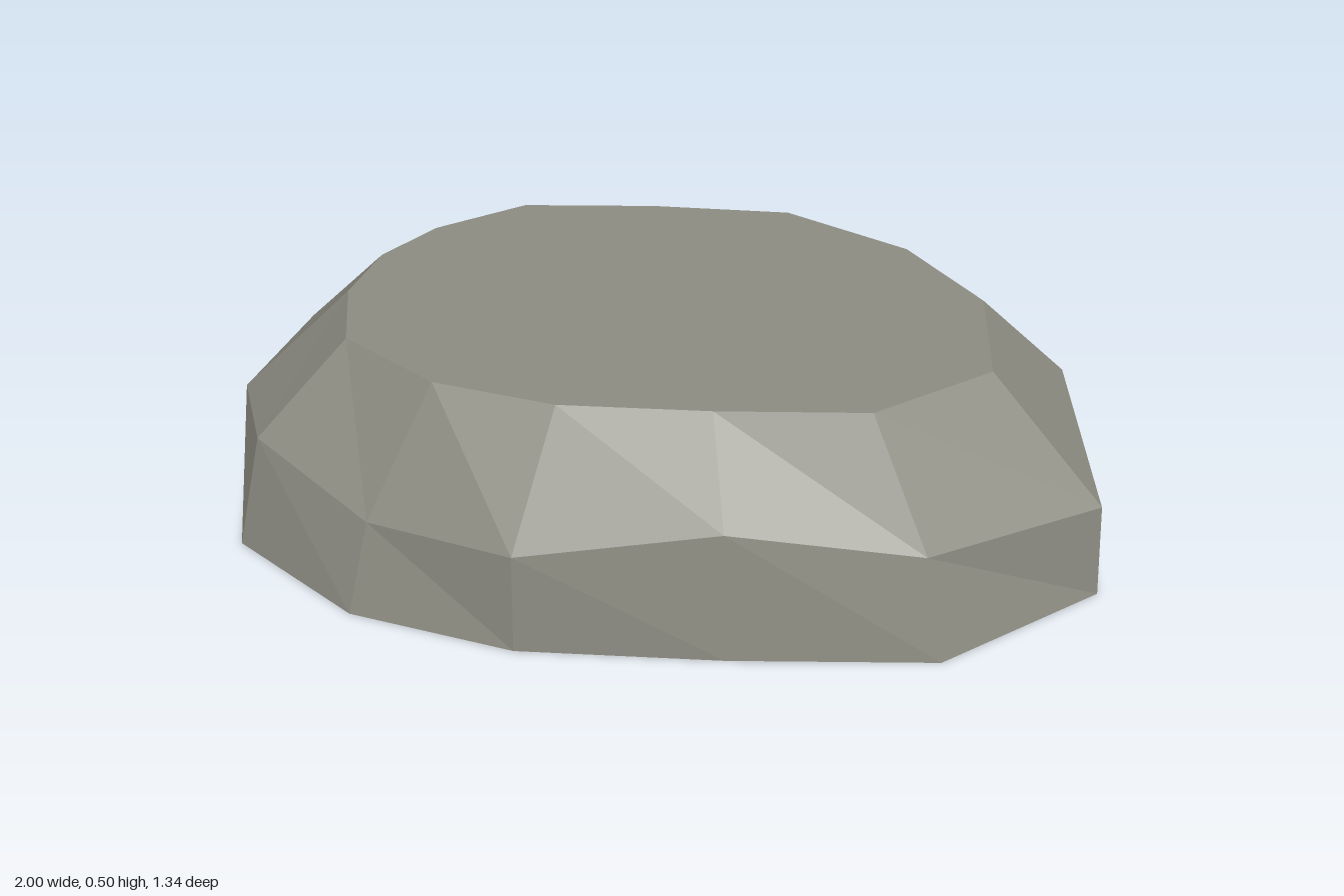
import * as THREE from 'three';

// Base outline of the stone: x, z, then the inset and height of its shoulder point
const OUTLINE = [
  [1.0, 0.2, 0.98, 0.23], [0.69, 0.5, 0.925, 0.24], [0.25, 0.595, 0.94, 0.3],
  [-0.19, 0.665, 0.98, 0.24], [-0.57, 0.63, 0.925, 0.22], [-0.9, 0.455, 0.93, 0.28],
  [-1.0, 0.18, 0.98, 0.24], [-0.98, -0.07, 0.925, 0.3], [-0.87, -0.29, 0.98, 0.23],
  [-0.63, -0.52, 0.92, 0.28], [-0.2, -0.615, 0.93, 0.28], [0.25, -0.67, 0.98, 0.225],
  [0.67, -0.5, 0.925, 0.295], [0.94, -0.215, 0.925, 0.315],
];
const HEIGHT = 0.5;

export function createModel() {
  const group = new THREE.Group();
  group.name = 'stone';
  const stone = new THREE.MeshStandardMaterial({ color: 0x8c8c82 });
  stone.name = 'warm grey stone';

  // Three cross-sections: ground, shoulder, flat top
  const rings = [
    OUTLINE.map(([x, z]) => [x, 0, z]),
    OUTLINE.map(([x, z, s, y]) => [x * s, y, z * s]),
    OUTLINE.map(([x, z]) => [x * 0.72, HEIGHT, z * 0.7]),
  ];
  const n = OUTLINE.length;
  const positions = [];
  const tri = (a, b, c) => positions.push(...a, ...b, ...c);

  for (let i = 0; i < n; i++) {
    const j = (i + 1) % n;
    // Faceted sides
    for (let r = 0; r < 2; r++) {
      const low = rings[r], high = rings[r + 1];
      tri(low[i], high[j], low[j]);
      tri(low[i], high[i], high[j]);
    }
    // Flat top and underside
    tri([0, HEIGHT, 0], rings[2][j], rings[2][i]);
    tri([0, 0, 0], rings[0][i], rings[0][j]);
  }

  // Unshared corners give flat facets
  const geometry = new THREE.BufferGeometry();
  geometry.setAttribute('position', new THREE.Float32BufferAttribute(positions, 3));
  geometry.computeVertexNormals();

  const mesh = new THREE.Mesh(geometry, stone);
  mesh.name = 'flatToppedStone';
  group.add(mesh);
  return group;
}
